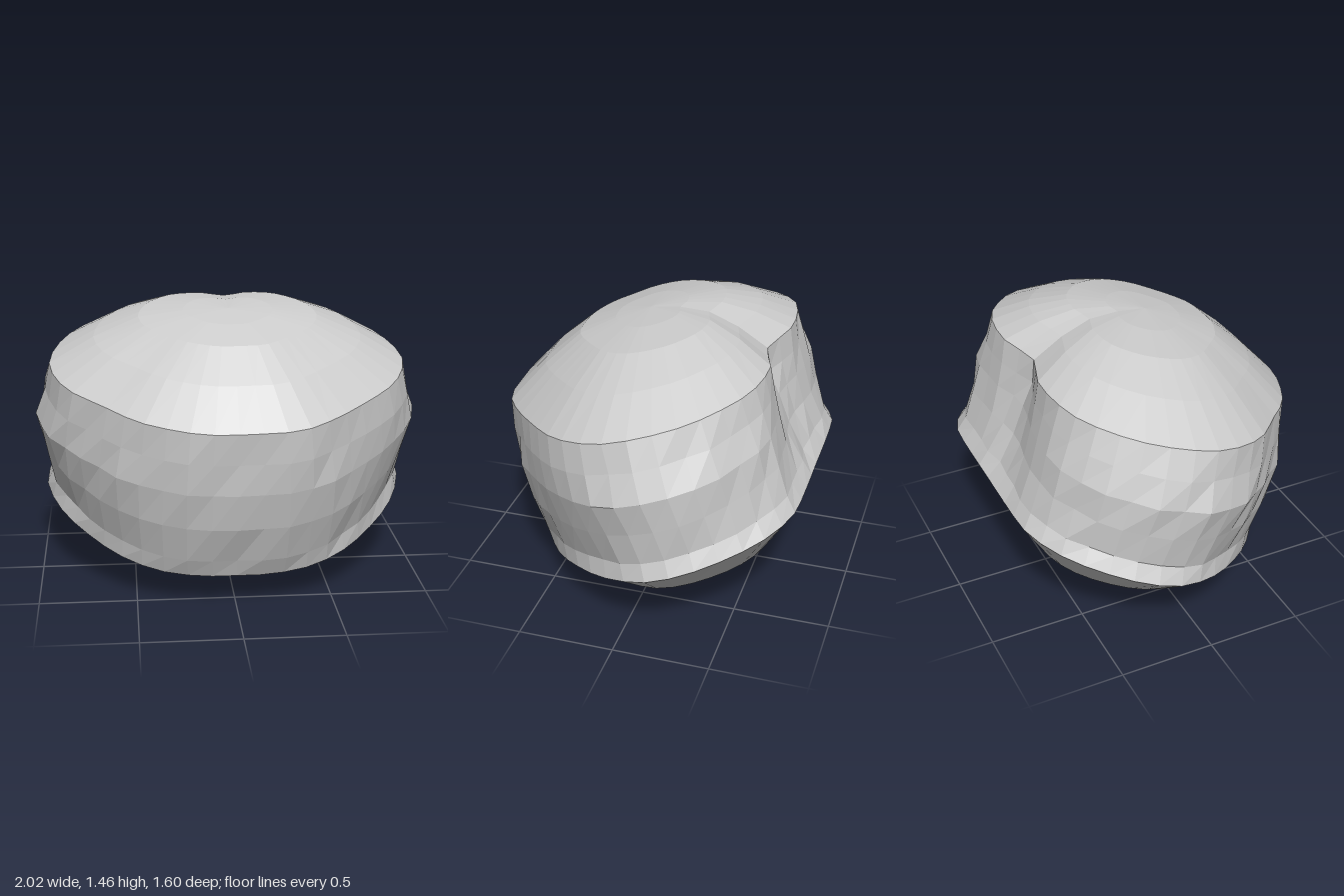
import * as THREE from 'three';

const SEGMENTS = 44;
const { lerp } = THREE.MathUtils;

// Outline corners as x, z pairs, running from the back over +x to the front and round
const TOP_RIM = [
  0, -0.515, 0.1, -0.54, 0.2, -0.58, 0.37, -0.58, 0.53, -0.54, 0.68, -0.44, 0.8, -0.32, 0.88, -0.17,
  0.925, 0, 0.92, 0.12, 0.83, 0.33, 0.64, 0.53, 0.45, 0.69, 0.3, 0.775, 0.13, 0.795, -0.15, 0.795,
  -0.3, 0.75, -0.48, 0.66, -0.65, 0.5, -0.83, 0.32, -0.92, 0.1, -0.92, -0.05, -0.85, -0.26,
  -0.75, -0.4, -0.57, -0.54, -0.3, -0.59, -0.2, -0.58, -0.1, -0.545,
];
const BOTTOM_HALF = [
  0.28, -0.8, 0.52, -0.785, 0.72, -0.68, 0.87, -0.5, 0.95, -0.33, 0.97, -0.17, 0.89, 0.06,
  0.74, 0.27, 0.57, 0.44, 0.38, 0.55, 0.18, 0.595,
];

// The two rims lie in tilted planes
const topPlane = (z) => 1.157 - 0.246 * z;
const bottomPlane = (z) => 0.37 - 0.35 * z;

function pairs(list) {
  const out = [];
  for (let i = 0; i < list.length; i += 2) out.push(new THREE.Vector3(list[i], 0, list[i + 1]));
  return out;
}

function sampleRim(corners, plane) {
  const curve = new THREE.CatmullRomCurve3(corners, true);
  return Array.from({ length: SEGMENTS }, (_, i) => {
    const p = curve.getPointAt(i / SEGMENTS);
    return p.setY(plane(p.z));
  });
}

// Skin a stack of closed rings, listed from low to high
function skin(name, rings) {
  const positions = rings.flat().flatMap((p) => p.toArray());
  const index = [];
  for (let r = 0; r < rings.length - 1; r++) {
    for (let i = 0; i < SEGMENTS; i++) {
      const j = (i + 1) % SEGMENTS;
      const a = r * SEGMENTS + i, b = r * SEGMENTS + j;
      const c = a + SEGMENTS, d = b + SEGMENTS;
      index.push(a, c, b, b, c, d);
    }
  }
  const geometry = new THREE.BufferGeometry();
  geometry.setAttribute('position', new THREE.Float32BufferAttribute(positions, 3));
  geometry.setIndex(index);
  geometry.computeVertexNormals();
  const material = new THREE.MeshStandardMaterial({ color: 0xcccccc, flatShading: true });
  const mesh = new THREE.Mesh(geometry, material);
  mesh.name = name;
  return mesh;
}

// Ring shrunk towards a centre, then lifted off the rim plane
function domeRing(rim, plane, centreZ, t, height) {
  return rim.map((p) => {
    const z = lerp(centreZ, p.z, t);
    const frontness = 0.5 + 0.5 * Math.cos(Math.atan2(p.x, p.z - centreZ));
    return new THREE.Vector3(p.x * t, plane(z) + height(frontness), z);
  });
}

export function createModel() {
  const group = new THREE.Group();
  group.name = 'roundedBlock';

  const bottomCorners = pairs(BOTTOM_HALF);
  const mirrored = bottomCorners.map((p) => new THREE.Vector3(-p.x, 0, p.z)).reverse();
  const bottomRim = sampleRim(
    [new THREE.Vector3(0, 0, -0.8), ...bottomCorners, new THREE.Vector3(0, 0, 0.6), ...mirrored],
    bottomPlane,
  );
  const topRim = sampleRim(pairs(TOP_RIM), topPlane);

  // Upper dome: [share of radius, height at back, height at front]
  const upper = [[1, 0, 0], [0.75, 0.135, 0.15], [0.5, 0.235, 0.265], [0.25, 0.28, 0.295], [0, 0.3, 0.3]];
  group.add(skin('upperDome', upper.map(([t, back, front]) =>
    domeRing(topRim, topPlane, 0.1, t, (f) => lerp(back, front, f)))));

  // Lower dome, deeper towards the back
  const lower = [[0, 0.37, 0.37], [0.25, 0.37, 0.345], [0.5, 0.34, 0.255], [0.75, 0.27, 0.13], [1, 0, 0]];
  group.add(skin('lowerDome', lower.map(([t, back, front]) =>
    domeRing(bottomRim, bottomPlane, -0.1, t, (f) => -lerp(back, front, f)))));

  // Side wall: [share of height, bulge at front, side and back]
  const wall = [
    [0, 0, 0, 0], [0.12, 0.02, -0.025, -0.03], [0.36, 0.045, 0.02, -0.055],
    [0.6, 0.045, 0.058, -0.055], [0.8, 0.025, 0.025, -0.035], [1, 0, 0, 0],
  ];
  let seed = 7;
  const jitter = () => {
    seed = (seed * 16807) % 2147483647;
    return (seed / 2147483647 - 0.5) * 0.022;
  };
  group.add(skin('sideWall', wall.map(([f, front, side, back]) =>
    bottomRim.map((low, i) => {
      const p = low.clone().lerp(topRim[i], f);
      const angle = Math.atan2(p.x, p.z + 0.1);
      const c = Math.cos(angle), s = Math.sin(angle);
      const rough = f > 0 && f < 1 ? jitter() : 0;
      const bulge = s * s * side + c * c * (c > 0 ? front : back) + rough;
      p.x += s * bulge;
      p.z += c * bulge;
      return p;
    }))));

  return group;
}
